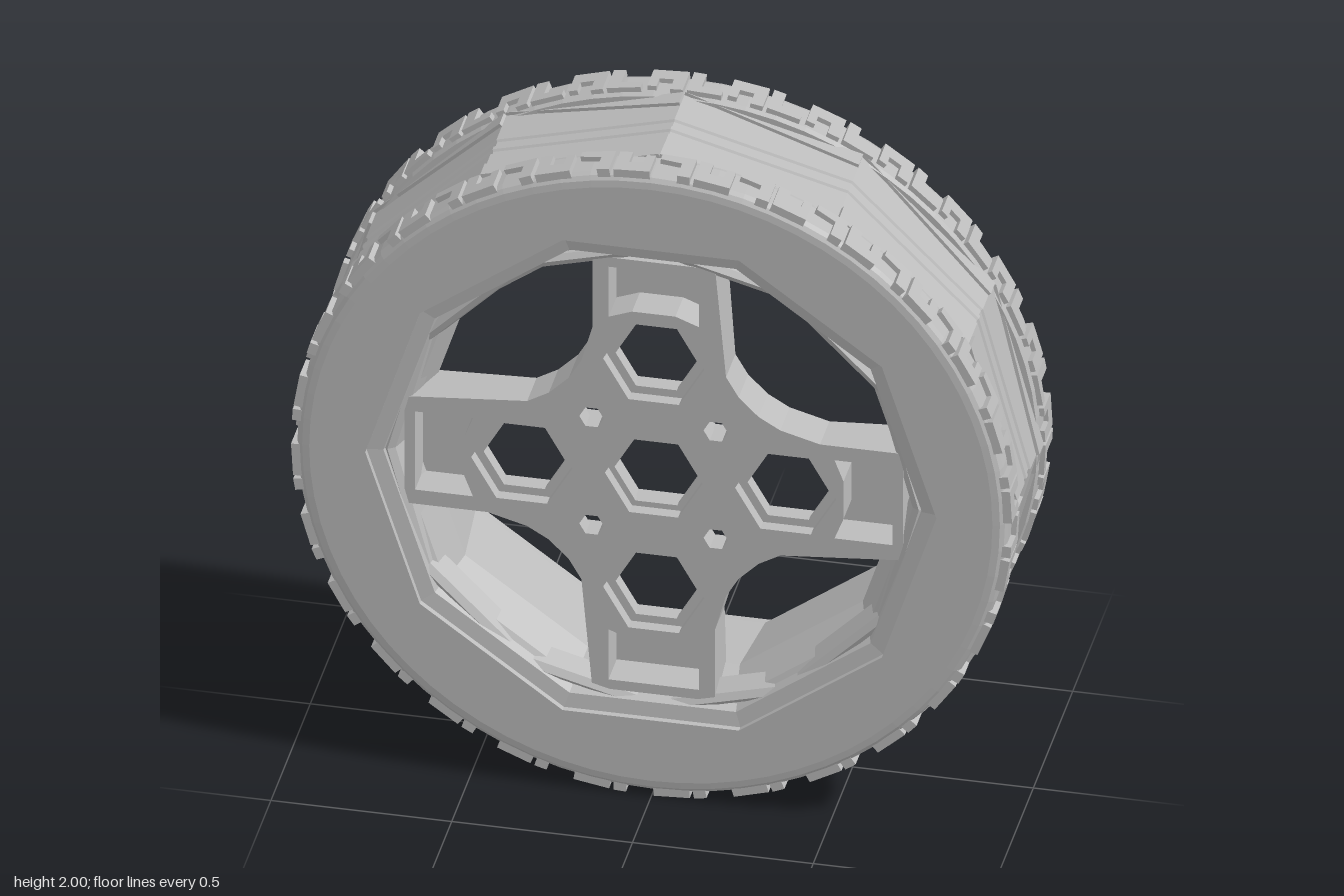
import * as THREE from 'three';
import { mergeGeometries } from 'three/addons/utils/BufferGeometryUtils.js';

const TAU = Math.PI * 2;
const grey = new THREE.MeshStandardMaterial({ color: 0xbcbcbc, flatShading: true });
grey.name = 'grey';

// Regular polygon points, first corner on +x
function polygon(n, r, cx = 0, cy = 0) {
  return Array.from({ length: n }, (_, i) =>
    new THREE.Vector2(cx + r * Math.cos(i * TAU / n), cy + r * Math.sin(i * TAU / n)));
}

// Closed [radius, z] profile turned about the wheel axis
function turned(profile, sides) {
  const pts = [...profile, profile[0]].map(([r, z]) => new THREE.Vector2(r, z));
  return new THREE.LatheGeometry(pts, sides, Math.PI / 2).rotateX(Math.PI / 2);
}

function plate(outline, holes, z0, z1) {
  const shape = new THREE.Shape(outline);
  shape.holes = holes.map(h => new THREE.Path(h));
  return new THREE.ExtrudeGeometry(shape, { depth: z1 - z0, bevelEnabled: false, curveSegments: 1 })
    .translate(0, 0, z0);
}

const vecs = list => list.map(([x, y]) => new THREE.Vector2(x, y));

// Places a shape drawn in (tangent, axis) on the tread at an angle
function onTread(geometry, angle) {
  const c = Math.cos(angle), s = Math.sin(angle);
  return geometry.clone().applyMatrix4(new THREE.Matrix4().makeBasis(
    new THREE.Vector3(-s, c, 0), new THREE.Vector3(0, 0, 1), new THREE.Vector3(c, s, 0)));
}

export function createModel() {
  const model = new THREE.Group();
  const wheel = new THREE.Group();
  wheel.name = 'wheel';
  wheel.position.y = 1;
  model.add(wheel);
  const add = (name, geometry) => {
    const mesh = new THREE.Mesh(geometry, grey);
    mesh.name = name;
    wheel.add(mesh);
  };

  // Twelve-sided centre tread with a shallow stepped middle
  add('centreTread', turned([
    [0.8, -0.16], [0.985, -0.16], [0.985, -0.035], [0.979, -0.03], [0.979, -0.005], [0.985, 0],
    [0.985, 0.015], [0.979, 0.02], [0.979, 0.035], [0.985, 0.04], [0.985, 0.16], [0.8, 0.16],
  ], 12));

  // Sidewalls with a ten-sided opening, and rounded shoulders
  const shoulder = turned([
    [0.89, 0.15], [0.978, 0.15], [0.983, 0.165], [0.983, 0.24], [0.977, 0.255], [0.965, 0.264],
    [0.945, 0.267], [0.89, 0.267],
  ], 72);
  const sidewall = plate(polygon(72, 0.892), [polygon(10, 0.79)], 0.15, 0.267);
  const wedge = plate(vecs([[-0.255, 0.16], [0.255, 0.105], [0.255, 0.16]]), [], 0.93, 0.961);

  // Two alternating shallow tread lugs
  const hook = plate(vecs([[-0.05, 0.165], [0.045, 0.165], [0.045, 0.19], [-0.015, 0.195],
    [-0.015, 0.258], [-0.05, 0.258]]), [], 0.96, 0.997);
  const fork = plate(vecs([[-0.05, 0.175], [-0.025, 0.175], [-0.025, 0.215], [0.015, 0.215],
    [0.015, 0.165], [0.05, 0.165], [0.05, 0.258], [-0.05, 0.258]]), [], 0.96, 0.996);

  for (const [side, turn] of [['front', 0], ['back', Math.PI]]) {
    const flip = g => g.clone().rotateZ(turn);
    add(side + 'Shoulder', shoulder.clone().rotateY(turn));
    add(side + 'Sidewall', sidewall.clone().rotateY(turn));
    const wedges = [], lugs = [];
    for (let i = 0; i < 12; i++) wedges.push(onTread(flip(wedge), (i + 0.5) * TAU / 12));
    for (let i = 0; i < 56; i++) lugs.push(onTread(flip(i % 2 ? hook : fork), (i + 0.5) * TAU / 56));
    add(side + 'TreadWedges', mergeGeometries(wedges));
    add(side + 'TreadLugs', mergeGeometries(lugs));
  }

  // Ten-sided stepped rim barrel, with a twelve-sided bead in the front mouth
  add('rimBarrel', turned([
    [0.81, -0.25], [0.81, 0.25], [0.79, 0.25], [0.745, 0.243], [0.735, 0.215], [0.72, 0.205],
    [0.68, 0.1], [0.715, -0.17], [0.74, -0.195], [0.75, -0.24], [0.79, -0.25],
  ], 10));
  add('frontBead', turned([[0.75, 0.17], [0.75, 0.225], [0.735, 0.238], [0.715, 0.225], [0.695, 0.17]], 12));

  // Cross-shaped hub outline: one quarter repeated four times
  const quarter = vecs([[0.69, -0.17], [0.69, 0.17], [0.46, 0.17], [0.35, 0.2], [0.29, 0.235],
    [0.235, 0.29], [0.2, 0.35]]);
  const pocket = vecs([[0.53, -0.125], [0.66, -0.125], [0.66, 0.125], [0.5, 0.125], [0.525, 0.06],
    [0.525, -0.06], [0.5, -0.125]].slice(1));
  const centre = new THREE.Vector2();
  const cross = [], pockets = [], bolts = [], sockets = [];
  const wide = [polygon(6, 0.135)], narrow = [polygon(6, 0.116)];
  for (let i = 0; i < 4; i++) {
    const a = i * TAU / 4, d = a + TAU / 8;
    const spin = pts => pts.map(p => p.clone().rotateAround(centre, a));
    cross.push(...spin(quarter));
    pockets.push(spin(pocket));
    const x = 0.365 * Math.cos(a), y = 0.365 * Math.sin(a);
    wide.push(polygon(6, 0.14, x, y));
    narrow.push(polygon(6, 0.113, x, y));
    bolts.push(polygon(6, 0.034, 0.243 * Math.cos(d), 0.243 * Math.sin(d)));
    sockets.push(polygon(6, 0.066, 0.25 * Math.cos(d), 0.25 * Math.sin(d)));
  }

  // Hub in layers: counterbored face, core, socketed middle and closed back
  add('hubFace', plate(cross, [...wide, ...bolts, ...pockets], 0.195, 0.23));
  add('hubCore', plate(cross, [...narrow, ...bolts, ...pockets], 0.175, 0.195));
  add('hubMiddle', plate(cross, [...wide, ...sockets, ...pockets], 0.13, 0.175));
  const back = plate(cross, [...wide, ...sockets], 0.11, 0.13);
  // The back of each arm thickens towards the rim
  const p = back.attributes.position;
  for (let i = 0; i < p.count; i++) {
    const r = Math.hypot(p.getX(i), p.getY(i));
    if (p.getZ(i) < 0.12) p.setZ(i, 0.11 - Math.max(0, r - 0.5) * 0.12);
  }
  back.computeVertexNormals();
  add('hubBack', back);
  return model;
}
